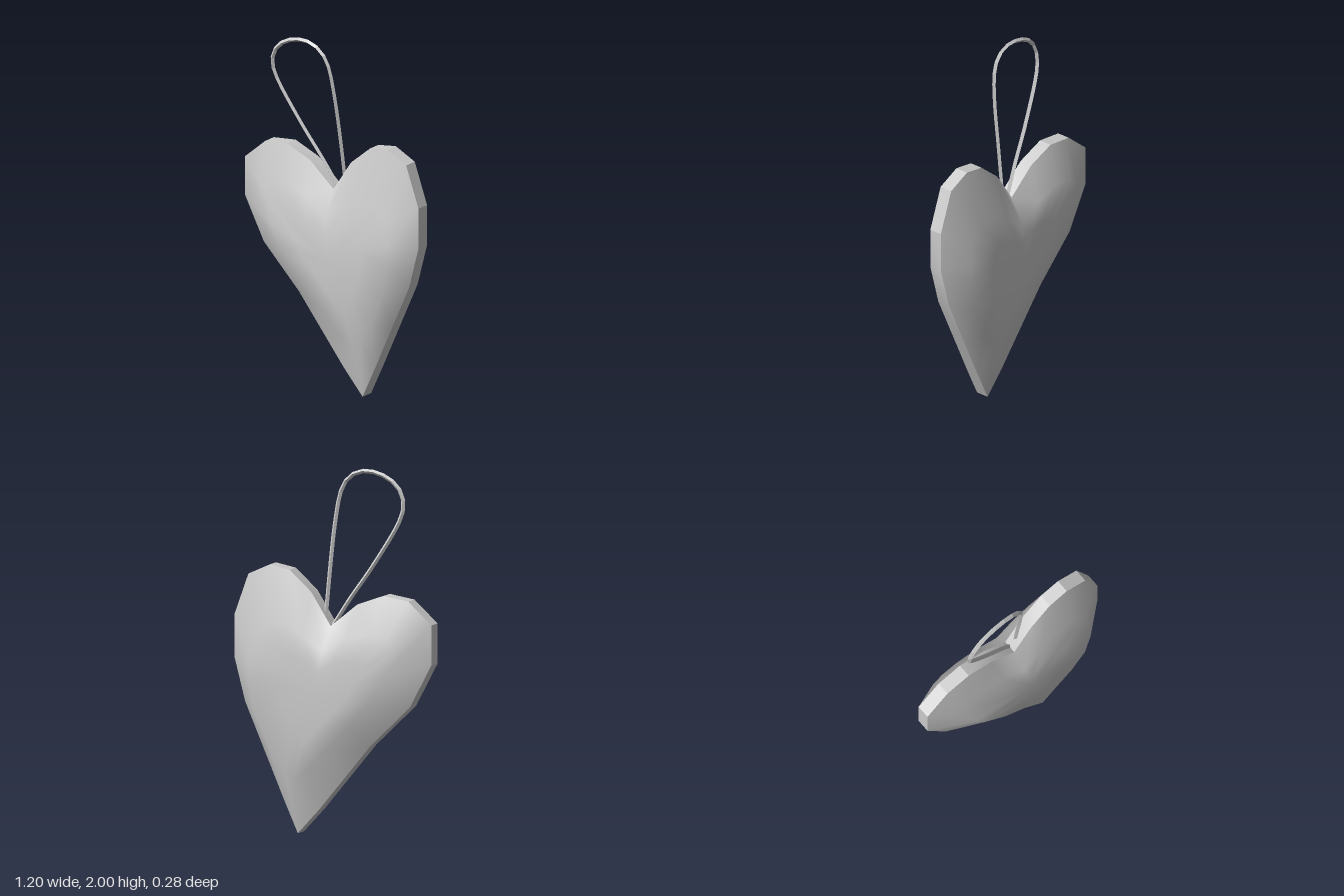
import * as THREE from 'three';
import { toCreasedNormals } from 'three/addons/utils/BufferGeometryUtils.js';

// Clockwise from the notch: rim x, rim y, shoulder x, shoulder y, front depth, back depth
const OUTLINE = [
  [0.01, 1.15, 0.02, 1.02, 0.115, 0.125],
  [0.13, 1.33, 0.14, 1.10, 0.100, 0.125],
  [0.26, 1.44, 0.25, 1.15, 0.097, 0.120],
  [0.38, 1.46, 0.36, 1.15, 0.097, 0.120],
  [0.51, 1.40, 0.43, 1.08, 0.107, 0.125],
  [0.595, 1.17, 0.46, 0.95, 0.135, 0.140],
  [0.595, 0.94, 0.46, 0.83, 0.140, 0.140],
  [0.53, 0.70, 0.42, 0.65, 0.140, 0.135],
  [0.41, 0.435, 0.34, 0.48, 0.125, 0.130],
  [0.29, 0.17, 0.25, 0.35, 0.110, 0.120],
  [0.21, 0.00, 0.20, 0.30, 0.100, 0.110],
  [0.08, 0.14, 0.13, 0.35, 0.110, 0.120],
  [-0.075, 0.325, 0.00, 0.48, 0.130, 0.130],
  [-0.23, 0.51, -0.14, 0.62, 0.140, 0.135],
  [-0.47, 0.74, -0.28, 0.78, 0.140, 0.135],
  [-0.60, 0.98, -0.34, 0.90, 0.140, 0.135],
  [-0.60, 1.20, -0.43, 1.07, 0.100, 0.125],
  [-0.46, 1.32, -0.37, 1.13, 0.095, 0.120],
  [-0.31, 1.34, -0.27, 1.14, 0.095, 0.120],
  [-0.15, 1.28, -0.12, 1.10, 0.100, 0.122],
];
const RIM_FRONT = 0.035;
const RIM_BACK = -0.04;
const CENTRE = [0.06, 0.78];

// Skins a list of closed rings; an optional last point closes the middle as a fan
function skin(rings, tip, flip) {
  const n = rings[0].length;
  const positions = rings.flat(2);
  const index = [];
  const tri = (a, b, c) => (flip ? index.push(a, c, b) : index.push(a, b, c));
  for (let r = 0; r < rings.length; r++) {
    for (let i = 0; i < n; i++) {
      const j = (i + 1) % n;
      const a = r * n + i;
      const b = r * n + j;
      if (r + 1 < rings.length) {
        tri(b, a, a + n);
        tri(b, a + n, b + n);
      } else if (tip) {
        tri(b, a, rings.length * n);
      }
    }
  }
  if (tip) positions.push(...tip);
  const geometry = new THREE.BufferGeometry();
  geometry.setAttribute('position', new THREE.Float32BufferAttribute(positions, 3));
  geometry.setIndex(index);
  geometry.computeVertexNormals();
  return geometry;
}

const rimRing = (z) => OUTLINE.map(([x, y]) => [x, y, z]);

// Padded face: rim, shoulder ring, nearly flat crown ring, centre
function face(sign) {
  const crown = sign * 0.142;
  const shoulder = OUTLINE.map(([, , x, y, f, b]) => [x, y, sign > 0 ? f : -b]);
  const inner = shoulder.map(([x, y, z]) => [
    THREE.MathUtils.lerp(x, CENTRE[0], 0.45),
    THREE.MathUtils.lerp(y, CENTRE[1], 0.45),
    THREE.MathUtils.lerp(z, crown, 0.8),
  ]);
  const rim = rimRing(sign > 0 ? RIM_FRONT : RIM_BACK);
  return skin([rim, shoulder, inner], [...CENTRE, crown], sign < 0);
}

// Hanging cord, a thin four-sided loop leaning forward
function cord() {
  const path = [
    [0.01, 1.15, -0.01], [-0.08, 1.30, 0.015], [-0.20, 1.48, 0.045],
    [-0.345, 1.74, 0.088], [-0.36, 1.82, 0.1], [-0.34, 1.89, 0.104],
    [-0.29, 1.945, 0.102], [-0.22, 1.978, 0.1], [-0.15, 1.99, 0.099],
    [-0.08, 1.98, 0.098], [-0.02, 1.935, 0.092], [0.012, 1.87, 0.083],
    [0.035, 1.70, 0.06], [0.045, 1.50, 0.03], [0.055, 1.20, -0.01],
  ].map((p) => new THREE.Vector3(...p));
  return new THREE.TubeGeometry(new THREE.CatmullRomCurve3(path, false, 'centripetal'), 32, 0.012, 4);
}

export function createModel() {
  const group = new THREE.Group();
  group.name = 'heartOrnament';
  const material = new THREE.MeshStandardMaterial({ color: 0xcccccc });
  const cordMaterial = new THREE.MeshStandardMaterial({
    color: 0xcccccc, flatShading: true, side: THREE.DoubleSide,
  });

  const add = (name, geometry, mat = material) => {
    const mesh = new THREE.Mesh(geometry, mat);
    mesh.name = name;
    group.add(mesh);
  };
  add('frontFace', face(1));
  add('backFace', face(-1));
  add('rim', toCreasedNormals(skin([rimRing(RIM_BACK), rimRing(RIM_FRONT)]), 0.35));
  add('hangingCord', cord(), cordMaterial);
  return group;
}
